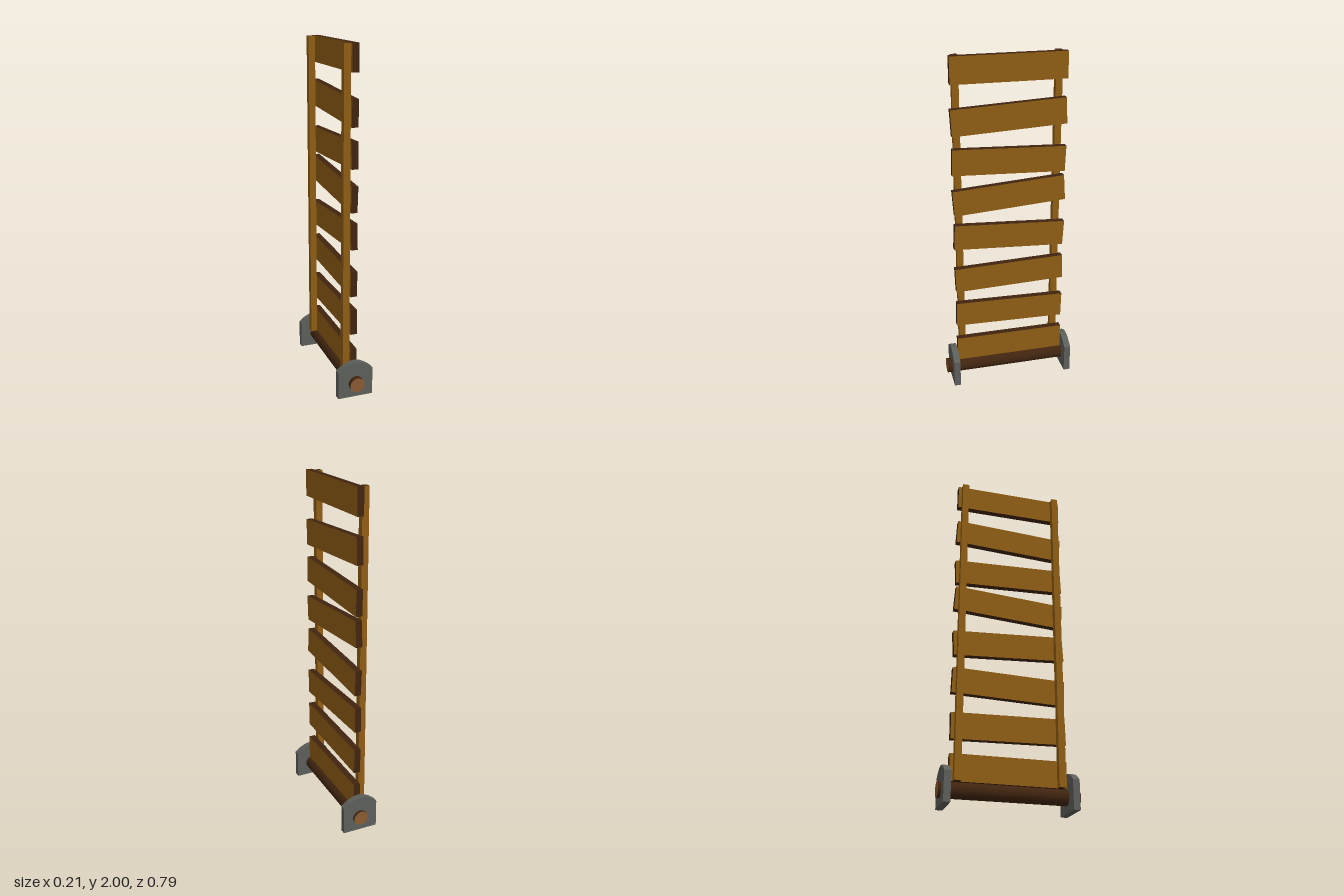
import * as THREE from 'three';

const material = (name, color) => {
  const m = new THREE.MeshStandardMaterial({ color });
  m.name = name;
  return m;
};

export function createModel() {
  const group = new THREE.Group();
  const gold = material('golden wood', 0x8f5d14);
  const dark = material('dark wood', 0x40240f);
  const cut = material('cut wood', 0x8a5a33);
  const grey = material('grey metal', 0x5c5e5a);

  const add = (name, geometry, mat, x, y, z) => {
    const mesh = new THREE.Mesh(geometry, mat);
    mesh.name = name;
    mesh.position.set(x, y, z);
    group.add(mesh);
    return mesh;
  };

  // Two upright rails with dark ends
  const railMaterials = [gold, gold, dark, dark, gold, gold];
  for (const [name, z] of [['frontRail', 0.284], ['backRail', -0.296]]) {
    add(name, new THREE.BoxGeometry(0.039, 1.87, 0.038), railMaterials, -0.0375, 1.063, z);
  }

  // Crooked planks: centre height and rise towards the back
  const plankMaterials = [gold, gold, dark, dark, dark, dark];
  const planks = [
    [0.205, 0], [0.4425, -0.015], [0.69, 0.02], [0.9425, -0.035],
    [1.1925, 0.045], [1.4025, -0.025], [1.655, 0.032], [1.925, 0],
  ];
  planks.forEach(([y, rise], i) => {
    const plank = add(`plank${i + 1}`, new THREE.BoxGeometry(0.038, 0.15, 0.655), plankMaterials, 0.001, y, -0.007);
    plank.rotation.x = Math.atan2(rise, 0.65);
  });

  // Round axle with pale cut ends
  const axle = add('axle', new THREE.CylinderGeometry(0.044, 0.044, 0.785, 24), [dark, cut, cut], 0.001, 0.085, -0.002);
  axle.rotation.x = Math.PI / 2;

  // Bracket plates with a rounded top
  const outline = new THREE.Shape([
    [-0.105, 0], [0.105, 0], [0.105, 0.165], [0.07, 0.192], [0.036, 0.209],
    [0, 0.215], [-0.036, 0.209], [-0.07, 0.192], [-0.105, 0.165],
  ].map(([x, y]) => new THREE.Vector2(x, y)));
  const plate = new THREE.ExtrudeGeometry(outline, { depth: 0.038, bevelEnabled: false });
  add('frontBracket', plate, grey, -0.001, 0, 0.323);
  add('backBracket', plate, grey, -0.001, 0, -0.378);

  return group;
}
